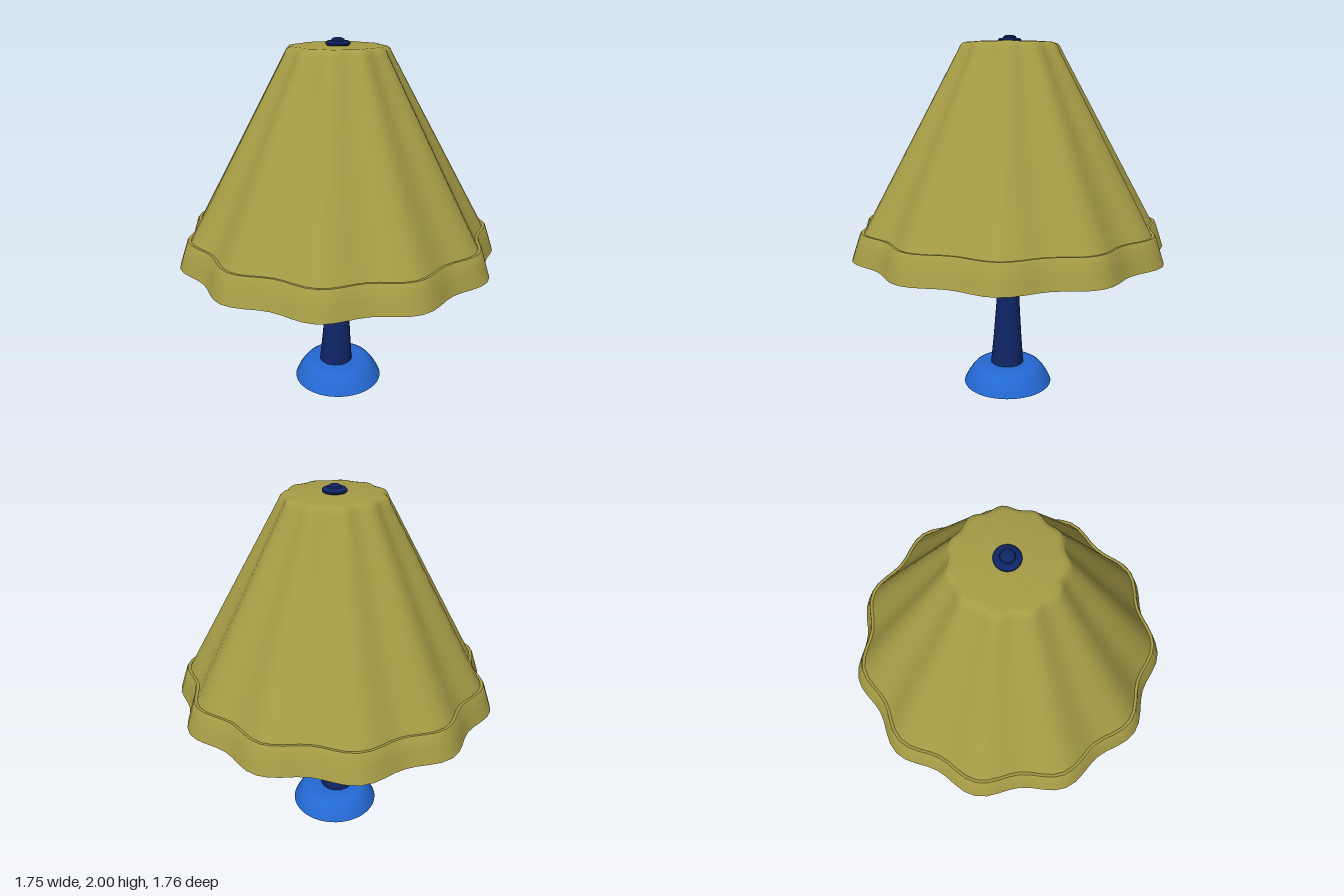
import * as THREE from 'three';
import { mergeVertices, toCreasedNormals } from 'three/addons/utils/BufferGeometryUtils.js';

const LOBES = 11;

function lathe(points, segments) {
  return new THREE.LatheGeometry(points.map(([r, y]) => new THREE.Vector2(r, y)), segments);
}

// Weld the seam, then smooth everything except the sharp edges
function finish(geometry, crease) {
  geometry.deleteAttribute('uv');
  geometry.deleteAttribute('normal');
  return toCreasedNormals(mergeVertices(geometry, 1e-5), crease);
}

// Lathe whose radius ripples in eleven lobes, one pointing along +x
function scalloped(points) {
  const geometry = lathe(points, LOBES * 8);
  const p = geometry.attributes.position;
  for (let i = 0; i < p.count; i++) {
    const angle = Math.atan2(p.getZ(i), p.getX(i));
    const k = 0.967 + 0.033 * Math.cos(LOBES * angle);
    p.setX(i, p.getX(i) * k);
    p.setZ(i, p.getZ(i) * k);
  }
  return finish(geometry, 0.7);
}

export function createModel() {
  const lamp = new THREE.Group();
  lamp.name = 'tableLamp';

  const olive = new THREE.MeshStandardMaterial({ color: 0xa69c46, side: THREE.DoubleSide });
  olive.name = 'olive fabric';
  const navy = new THREE.MeshStandardMaterial({ color: 0x0f2566 });
  navy.name = 'navy';
  const blue = new THREE.MeshStandardMaterial({ color: 0x2468d2 });
  blue.name = 'bright blue';

  const add = (name, geometry, material, x, z = 0) => {
    const mesh = new THREE.Mesh(geometry, material);
    mesh.name = name;
    mesh.position.set(x, 0, z);
    lamp.add(mesh);
  };

  // Domed foot with a flat underside
  add('base', finish(lathe([
    [0, 0], [0.257, 0], [0.24, 0.035], [0.218, 0.07], [0.195, 0.097],
    [0.175, 0.109], [0.15, 0.113], [0, 0.113],
  ], 48), 0.6), blue, -0.027, 0.01);

  // Tapering stem, leaning slightly so that it meets the shade's axis
  const stem = lathe([
    [0.097, 0.1], [0.082, 0.28], [0.069, 0.47], [0.059, 0.65],
    [0.051, 0.83], [0.045, 1.2], [0.04, 1.95],
  ], 32);
  const p = stem.attributes.position;
  for (let i = 0; i < p.count; i++) {
    const t = Math.min(1, (p.getY(i) - 0.1) / 0.73);
    p.setX(i, p.getX(i) - 0.02 * (1 - t));
  }
  add('stem', finish(stem, 0.6), navy, -0.02, 0.006);

  // Shade wall with a rounded shoulder and closed top
  add('shade', scalloped([
    [0.822, 0.965], [0.645, 1.28], [0.46, 1.61], [0.286, 1.92],
    [0.275, 1.943], [0.26, 1.956], [0.24, 1.96], [0, 1.96],
  ]), olive, -0.02);

  // Flared band around the bottom, stepped out from the wall
  add('shadeBand', scalloped([
    [0.89, 0.825], [0.868, 0.89], [0.842, 0.965], [0.836, 0.972], [0.82, 0.97],
  ]), olive, -0.02);

  // Small disc and knob on top
  add('finial', finish(lathe([
    [0, 1.955], [0.055, 1.957], [0.064, 1.966], [0.064, 1.974], [0.056, 1.982],
    [0.036, 1.984], [0.033, 1.992], [0.022, 1.998], [0, 2],
  ], 32), 0.7), navy, -0.018);

  return lamp;
}
